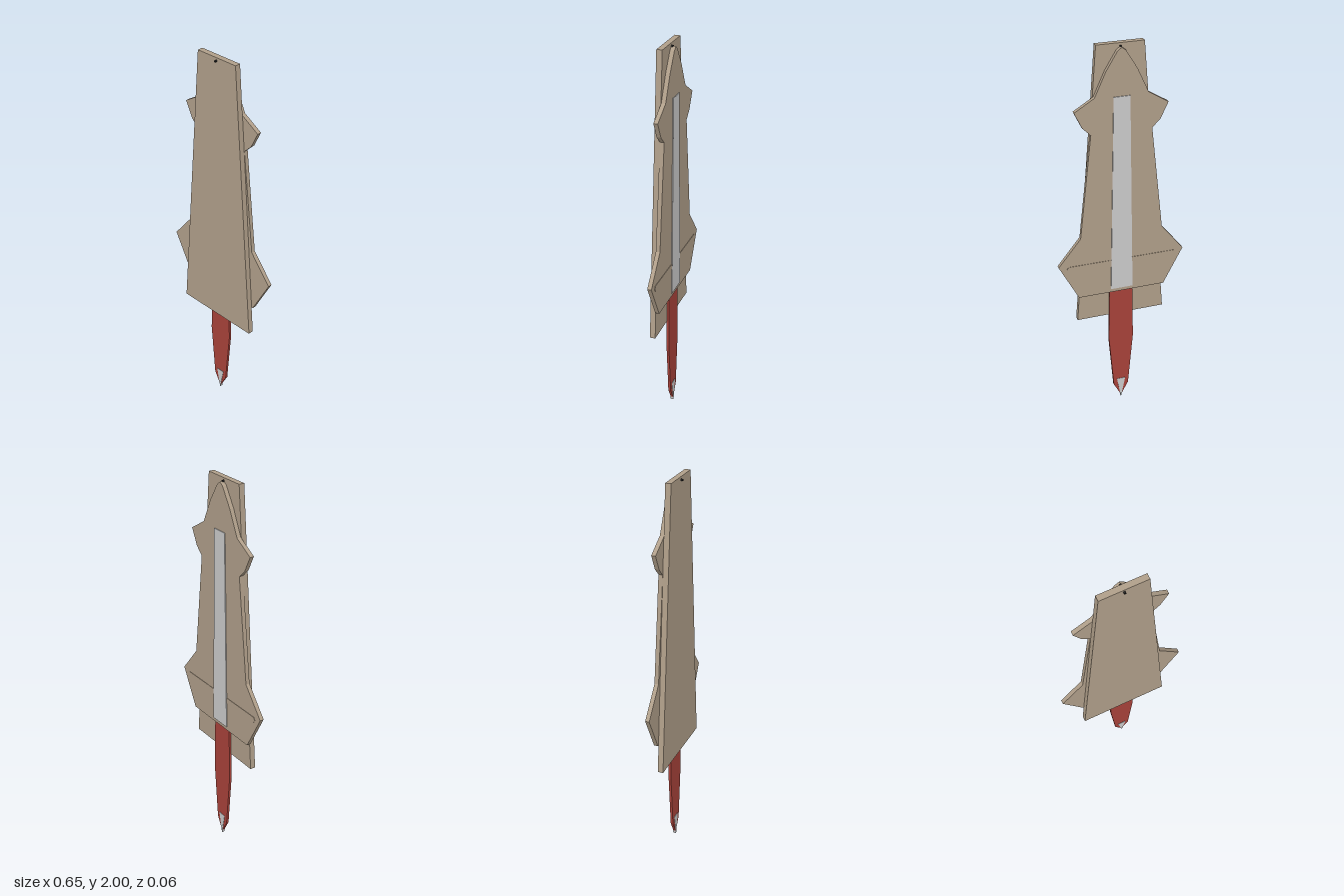
import * as THREE from 'three';

const TAN = 0xb09f8a, RED = 0xa8423a, GREY = 0xcccccc, DARK = 0x222222;

// Flat plate: right-hand outline points (bottom to top) mirrored across x = 0
function plate(name, half, zBack, zFront, color) {
  const left = half.filter(([x]) => x > 0).map(([x, y]) => [-x, y]).reverse();
  const shape = new THREE.Shape([...half, ...left].map(([x, y]) => new THREE.Vector2(x, y)));
  const geometry = new THREE.ExtrudeGeometry(shape, { depth: zFront - zBack, bevelEnabled: false });
  geometry.translate(0, 0, zBack);
  const mesh = new THREE.Mesh(geometry, new THREE.MeshStandardMaterial({ color }));
  mesh.name = name;
  return mesh;
}

export function createModel() {
  const model = new THREE.Group();
  model.name = 'sheathedBlade';

  // Tapered front board
  model.add(plate('frontBoard', [[0.23, 0.55], [0.115, 2]], -0.008, 0.02, TAN));

  // Winged back plate with a pointed top
  model.add(plate('backPlate', [
    [0.225, 0.70], [0.325, 0.895], [0.21, 1.04], [0.15, 1.58], [0.19, 1.62],
    [0.228, 1.70], [0.13, 1.76], [0.075, 1.88], [0.02, 1.97], [0, 1.985],
  ], -0.029, -0.008, TAN));

  // Raised centre strip and cross bar on the back
  model.add(plate('centreStrip', [[0.057, 0.72], [0.04, 1.755]], -0.033, -0.028, GREY));
  model.add(plate('crossBar', [[0.275, 0.86], [0.285, 0.875], [0.275, 0.89]], -0.031, -0.028, TAN));

  // Blade and its pale point
  model.add(plate('blade', [[0, 0.012], [0.04, 0.09], [0.066, 0.40], [0.06, 0.72]], -0.019, -0.006, RED));
  model.add(plate('bladePoint', [[0, 0], [0.023, 0.125]], -0.021, -0.004, GREY));

  // Small pin through the top
  const pin = new THREE.Mesh(
    new THREE.CylinderGeometry(0.005, 0.005, 0.047, 12),
    new THREE.MeshStandardMaterial({ color: DARK }),
  );
  pin.name = 'pin';
  pin.rotation.x = Math.PI / 2;
  pin.position.set(0, 1.985, 0.0065);
  model.add(pin);

  return model;
}
